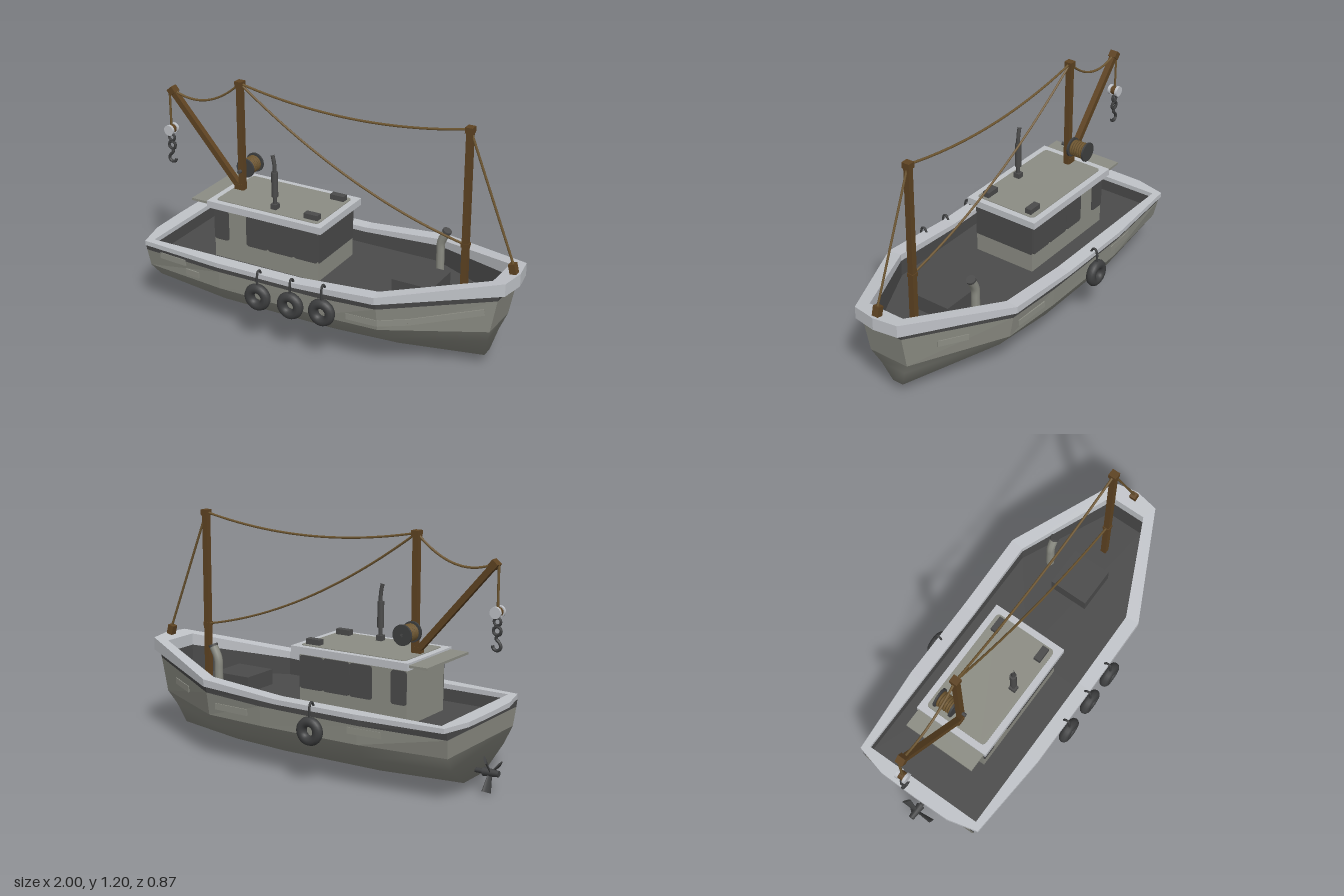
import * as THREE from 'three';

const mat = (name, color) => Object.assign(new THREE.MeshStandardMaterial({ color }), { name });
const V = (x, y, z) => new THREE.Vector3(x, y, z);

export function createModel() {
  const boat = new THREE.Group();
  boat.name = 'fishingBoat';
  const hullGrey = mat('hullGrey', 0x8c8d84);
  const trim = mat('paleTrim', 0xc0c3c8);
  const dark = mat('darkDeck', 0x4b4b4b);
  const rubber = mat('rubber', 0x3e3f40);
  const wood = mat('wood', 0x5e4322);
  const ropeMat = mat('rope', 0x6f5731);

  const add = (name, geo, material, x = 0, y = 0, z = 0, parent = boat) => {
    const m = new THREE.Mesh(geo, material);
    m.name = name;
    m.position.set(x, y, z);
    parent.add(m);
    return m;
  };
  const box = (name, w, h, d, material, x, y, z, parent) =>
    add(name, new THREE.BoxGeometry(w, h, d), material, x, y, z, parent);
  const cyl = (r1, r2, h, n = 16) => new THREE.CylinderGeometry(r1, r2, h, n);
  const strut = (name, p, q, w, h, material) => {
    const c = p.clone().lerp(q, 0.5);
    const m = box(name, w, h, p.distanceTo(q), material, c.x, c.y, c.z);
    m.lookAt(q);
    return m;
  };
  const tube = (name, pts, r, material, parent) =>
    add(name, new THREE.TubeGeometry(new THREE.CatmullRomCurve3(pts), 24, r, 8), material, 0, 0, 0, parent);
  const line = (name, p, q, sag) => {
    const mid = p.clone().lerp(q, 0.5);
    mid.y -= sag * 2;
    add(name, new THREE.TubeGeometry(new THREE.QuadraticBezierCurve3(p, mid, q), 24, 0.006, 6), ropeMat);
  };

  // Skin over closed rings that all have the same number of points
  const loft = (rings, smooth) => {
    const n = rings[0].length, idx = [];
    for (let r = 0; r < rings.length - 1; r++) for (let i = 0; i < n; i++) {
      const a = r * n + i, b = r * n + (i + 1) % n;
      idx.push(a, b, b + n, a, b + n, a + n);
    }
    let g = new THREE.BufferGeometry().setFromPoints(rings.flat());
    g.setIndex(idx);
    if (!smooth) g = g.toNonIndexed();
    g.computeVertexNormals();
    return g;
  };
  // Half outline, stern to bow, mirrored into a full ring
  const ring = (half, yAt) => {
    const port = half.map(([x, z]) => V(x, yAt(x), z));
    const other = half.filter(p => p[1] > 0).reverse().map(([x, z]) => V(x, yAt(x), -z));
    return [...port, ...other];
  };
  const graph = (pts) => (x) => {
    for (let i = 1; i < pts.length; i++) if (x <= pts[i][0] || i === pts.length - 1) {
      const [a, b] = [pts[i - 1], pts[i]];
      return a[1] + (b[1] - a[1]) * (x - a[0]) / (b[0] - a[0]);
    }
  };

  // Hull
  const sheer = graph([[-0.95, 0.362], [0, 0.365], [0.43, 0.388], [0.99, 0.452]]);
  const railTop = graph([[-0.95, 0.386], [0, 0.39], [0.43, 0.425], [0.99, 0.518]]);
  const keel = [[-0.87, 0.1], [-0.45, 0.16], [0.1, 0.16], [0.43, 0.13], [0.845, 0.03]];
  const bilge = [[-0.89, 0.26], [-0.45, 0.325], [0.1, 0.325], [0.43, 0.29], [0.873, 0.07]];
  const chine = [[-0.905, 0.32], [-0.45, 0.368], [0.1, 0.37], [0.43, 0.352], [0.9, 0.11]];
  const gunwale = [[-0.913, 0.345], [-0.45, 0.375], [0.1, 0.38], [0.43, 0.378], [0.945, 0.115]];
  const stripe = gunwale.map(([x, z], i) => [x + (chine[i][0] - x) * 0.24, z + (chine[i][1] - z) * 0.24]);
  const keelRing = ring(keel, () => 0.055), chineRing = ring(chine, () => 0.235);
  const stripeRing = ring(stripe, x => sheer(x) - 0.035);
  add('lowerHull', loft([keelRing.map(() => V(0, 0.055, 0)), keelRing, ring(bilge, () => 0.16), chineRing], true), hullGrey);
  add('upperHull', loft([chineRing, stripeRing]), hullGrey);
  add('hullStripe', loft([stripeRing, ring(gunwale, sheer)]), dark);

  // Rail, bulwark and deck
  const outer = [[-0.948, 0], [-0.945, 0.2], [-0.905, 0.36], [-0.45, 0.395], [0, 0.395], [0.43, 0.395], [0.973, 0.125], [0.995, 0]];
  const inner = [[-0.872, 0], [-0.872, 0.2], [-0.872, 0.325], [-0.45, 0.325], [0, 0.325], [0.42, 0.325], [0.9, 0.1], [0.9, 0]];
  const oLow = ring(outer, sheer), iTop = ring(inner, railTop);
  add('rail', loft([oLow, ring(outer, railTop), iTop, ring(inner, sheer), oLow]), trim);
  const deckRing = ring(inner, () => 0.3);
  add('deck', loft([ring(inner, sheer), deckRing, deckRing.map(() => V(0, 0.3, 0))]), dark);
  box('deckHatch', 0.215, 0.08, 0.21, dark, 0.482, 0.34, 0);

  // Rubbing strakes lying on the hull sides
  const chineZ = graph(chine), topZ = graph(gunwale);
  const side = (x, y, s) => {
    const t = (y - 0.235) / (sheer(x) - 0.235);
    return V(x, y, s * (chineZ(x) + (topZ(x) - chineZ(x)) * t));
  };
  [[0.27, 0.275, 0.43, 0.275, 1], [0.43, 0.275, 0.56, 0.285, 1], [0.56, 0.285, 0.88, 0.35, 1],
    [-0.82, 0.32, -0.66, 0.32, 1], [-0.66, 0.27, -0.58, 0.27, 1],
    [0.63, 0.315, 0.77, 0.325, -1], [0.18, 0.29, 0.38, 0.29, -1], [-0.58, 0.3, -0.4, 0.3, -1],
  ].forEach(([x1, y1, x2, y2, s]) => strut('strake', side(x1, y1, s), side(x2, y2, s), 0.012, 0.032, hullGrey));

  // Cabin and roof
  const panel = (w, h, r, depth) => {
    const s = new THREE.Shape(), a = w / 2 - r, b = h / 2 - r;
    s.absarc(a, b, r, 0, Math.PI / 2);
    s.absarc(-a, b, r, Math.PI / 2, Math.PI);
    s.absarc(-a, -b, r, Math.PI, Math.PI * 1.5);
    s.absarc(a, -b, r, Math.PI * 1.5, Math.PI * 2);
    return new THREE.ExtrudeGeometry(s, { depth, bevelEnabled: false, curveSegments: 5 });
  };
  box('cabin', 0.605, 0.28, 0.345, hullGrey, -0.298, 0.438, 0);
  for (const s of [1, -1]) {
    for (const [x, w] of [[-0.557, 0.085], [-0.347, 0.125], [-0.208, 0.15], [-0.065, 0.136]])
      add('sideWindow', panel(w, 0.165, 0.015, 0.006), dark, x, 0.482, s > 0 ? 0.172 : -0.178);
  }
  add('windscreen', panel(0.345, 0.165, 0.008, 0.006), dark, 0.003, 0.482, 0).rotation.y = Math.PI / 2;
  box('roof', 0.658, 0.036, 0.41, trim, -0.293, 0.594, 0);
  add('roofPanel', panel(0.59, 0.345, 0.02, 0.004), hullGrey, -0.293, 0.611, 0).rotation.x = -Math.PI / 2;
  box('rearAwning', 0.11, 0.012, 0.39, hullGrey, -0.665, 0.596, 0);
  for (const z of [0.13, -0.13]) box('roofHatch', 0.078, 0.03, 0.036, dark, -0.053, 0.627, z);

  // Exhaust stack
  box('exhaustBase', 0.032, 0.03, 0.036, dark, -0.272, 0.627, 0.12);
  add('exhaustMuffler', cyl(0.017, 0.017, 0.13), dark, -0.272, 0.745, 0.12);
  tube('exhaustPipe', [V(-0.272, 0.63, 0.12), V(-0.272, 0.75, 0.12), V(-0.272, 0.85, 0.12), V(-0.282, 0.9, 0.12)], 0.01, dark);

  // Deck ventilator
  tube('ventPipe', [V(0.49, 0.3, -0.195), V(0.49, 0.42, -0.195), V(0.492, 0.48, -0.195), V(0.522, 0.545, -0.195)], 0.022, hullGrey);
  const mouth = add('ventMouth', cyl(0.024, 0.024, 0.012), dark, 0.522, 0.546, -0.195);
  mouth.rotation.z = -0.45;

  // Masts, boom and bow post
  for (const [x, y0] of [[-0.54, 0.612], [0.71, 0.3]]) {
    box('mast', 0.03, 1.19 - y0, 0.03, wood, x, (1.19 + y0) / 2, 0);
    box('mastCap', 0.038, 0.03, 0.042, wood, x, 1.183, 0);
  }
  box('mastCleat', 0.036, 0.02, 0.036, wood, 0.71, 0.6, 0);
  const tip = V(-0.955, 1.083, 0);
  strut('boom', V(-0.552, 0.622, 0), tip, 0.03, 0.03, wood);
  strut('boomCap', V(-0.937, 1.063, 0), V(-0.96, 1.09, 0), 0.042, 0.038, wood);
  box('boomFoot', 0.045, 0.035, 0.036, wood, -0.556, 0.628, 0);
  box('bowPost', 0.034, 0.05, 0.034, wood, 0.957, 0.538, 0).rotation.z = 0.25;

  // Rigging
  line('topStay', V(-0.54, 1.185, 0), V(0.71, 1.185, 0), 0.067);
  line('longStay', V(-0.54, 1.185, 0), V(0.71, 0.6, 0), 0.085);
  line('foreStay', V(0.71, 1.185, 0), V(0.957, 0.555, 0), 0);
  line('boomStay', V(-0.54, 1.185, 0), tip, 0.075);
  line('hoistRope', V(-0.97, 1.08, 0), V(-0.97, 0.87, 0), 0);

  // Pulley block and hook
  const lie = (m) => { m.rotation.x = Math.PI / 2; return m; };
  lie(add('pulley', cyl(0.022, 0.022, 0.03), wood, -0.97, 0.86, 0));
  for (const z of [0.021, -0.021]) lie(add('pulleyCheek', cyl(0.028, 0.028, 0.014), trim, -0.97, 0.86, z));
  add('hookLink', new THREE.TorusGeometry(0.018, 0.007, 6, 12), rubber, -0.97, 0.815, 0);
  add('hookEye', new THREE.TorusGeometry(0.02, 0.008, 6, 12), rubber, -0.97, 0.772, 0);
  tube('hook', [V(-0.97, 0.755, 0), V(-0.966, 0.735, 0), V(-0.985, 0.715, 0), V(-0.99, 0.695, 0),
    V(-0.972, 0.68, 0), V(-0.952, 0.688, 0), V(-0.948, 0.703, 0)], 0.008, rubber);

  // Winch drum
  lie(add('winchAxle', cyl(0.009, 0.009, 0.16, 10), dark, -0.54, 0.72, -0.045));
  for (const z of [-0.03, -0.12]) lie(add('winchFlange', cyl(0.051, 0.051, 0.01, 20), rubber, -0.54, 0.72, z));
  lie(add('winchDrum', cyl(0.036, 0.036, 0.085), ropeMat, -0.54, 0.72, -0.075));
  for (let i = 0; i < 6; i++)
    add('ropeCoil', new THREE.TorusGeometry(0.036, 0.007, 6, 20), ropeMat, -0.54, 0.72, -0.042 - i * 0.0132);

  // Tyre fenders hung from the rail
  for (const [x, y, s] of [[-0.2, 0.272, 1], [-0.015, 0.274, 1], [0.16, 0.284, 1], [-0.215, 0.272, -1]]) {
    const g = new THREE.Group();
    g.name = 'fender';
    boat.add(g);
    add('tyre', new THREE.TorusGeometry(0.046, 0.025, 10, 28), rubber, x, y, s * 0.41, g);
    const top = railTop(x);
    tube('fenderHanger', [V(x, top - 0.005, s * 0.375), V(x, top + 0.018, s * 0.388), V(x, top + 0.018, s * 0.402),
      V(x, top - 0.005, s * 0.411), V(x, y + 0.045, s * 0.411)], 0.006, rubber, g);
  }

  // Propeller
  const prop = new THREE.Group();
  prop.name = 'propeller';
  prop.position.set(-0.955, 0.095, 0);
  boat.add(prop);
  add('propellerShaft', cyl(0.012, 0.012, 0.12, 12), rubber, 0.05, 0, 0, prop).rotation.z = Math.PI / 2;
  add('propellerHub', cyl(0.022, 0.015, 0.08, 14), rubber, -0.005, 0, 0, prop).rotation.z = -Math.PI / 2;
  for (let i = 0; i < 3; i++) {
    const arm = new THREE.Group();
    arm.name = 'propellerBlade';
    arm.rotation.x = Math.PI + 0.4 + i * Math.PI * 2 / 3;
    prop.add(arm);
    const blade = add('blade', cyl(0.026, 0.012, 0.085, 10), rubber, 0, 0.052, 0, arm);
    blade.scale.x = 0.25;
    blade.rotation.y = 0.6;
  }
  return boat;
}
